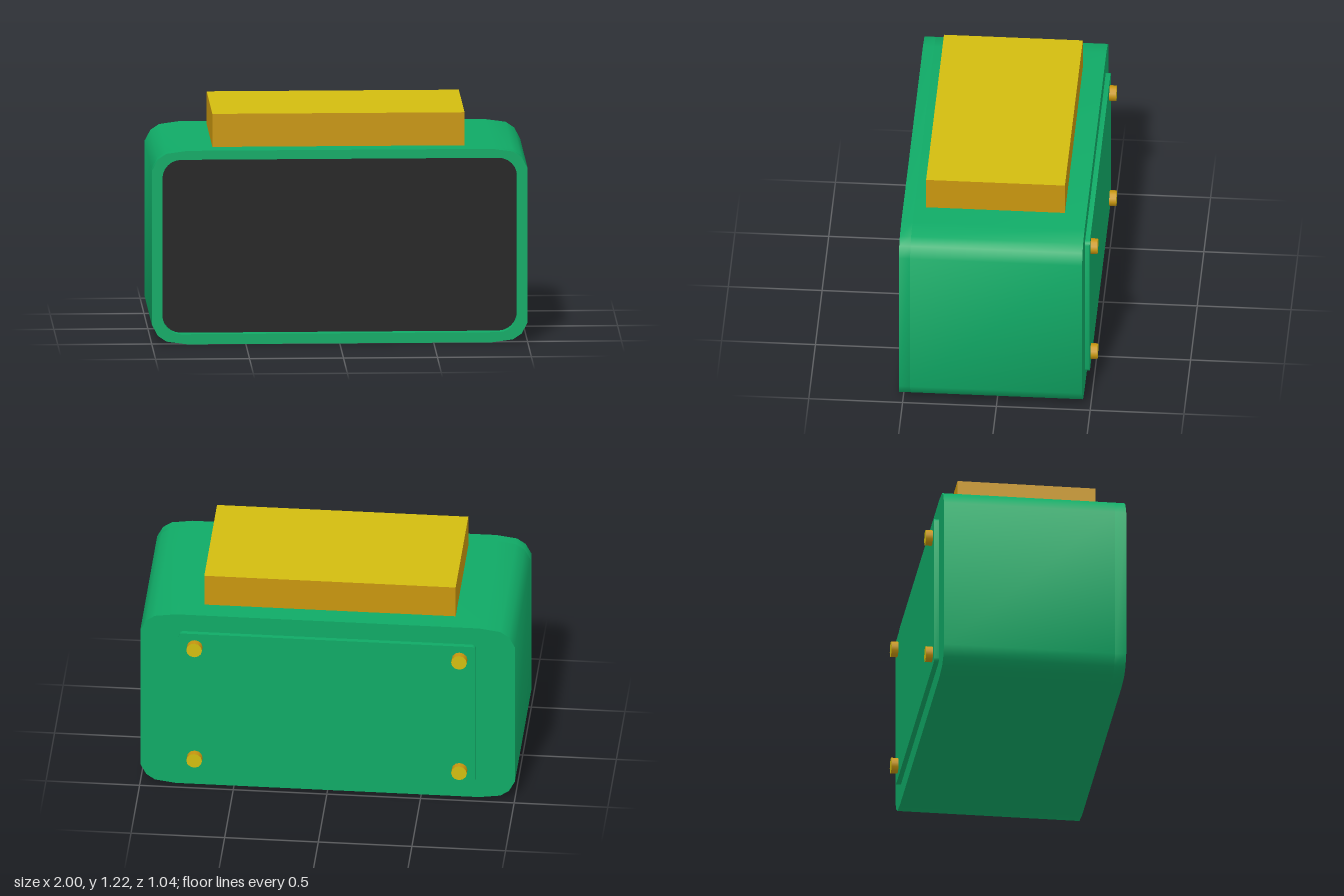
import * as THREE from 'three';
import { toCreasedNormals } from 'three/addons/utils/BufferGeometryUtils.js';

const mat = (name, color) => {
  const m = new THREE.MeshStandardMaterial({ color });
  m.name = name;
  return m;
};

// Mirrors one corner (listed from the side towards the top) around a centre height
function mirroredOutline(corner, cy) {
  const back = [...corner].reverse();
  return [
    ...corner.map(([x, y]) => new THREE.Vector2(x, cy + y)),
    ...back.map(([x, y]) => new THREE.Vector2(-x, cy + y)),
    ...corner.map(([x, y]) => new THREE.Vector2(-x, cy - y)),
    ...back.map(([x, y]) => new THREE.Vector2(x, cy - y)),
  ];
}

function roundCorner(hw, hh, r, steps) {
  const pts = [];
  for (let i = 0; i <= steps; i++) {
    const a = (i / steps) * Math.PI / 2;
    pts.push([hw - r + r * Math.cos(a), hh - r + r * Math.sin(a)]);
  }
  return pts;
}

// Extrudes an outline between two depths, smooth round the corners
function slab(outline, z0, z1, hole) {
  const shape = new THREE.Shape(outline);
  if (hole) shape.holes.push(new THREE.Path(hole));
  const geo = new THREE.ExtrudeGeometry(shape, { depth: z1 - z0, bevelEnabled: false });
  geo.translate(0, 0, z0);
  return toCreasedNormals(geo, 0.8);
}

export function createModel() {
  const green = mat('green casing', 0x10aa66);
  const black = mat('black screen', 0x242424);
  const yellow = mat('yellow face', 0xd2bc10);
  const orange = mat('amber side', 0xc8960f);

  const group = new THREE.Group();
  const add = (name, geo, material, x = 0, y = 0, z = 0) => {
    const mesh = new THREE.Mesh(geo, material);
    mesh.name = name;
    mesh.position.set(x, y, z);
    group.add(mesh);
    return mesh;
  };

  const cy = 0.5215;
  const outer = mirroredOutline([[1, 0.415], [0.968, 0.475], [0.922, 0.506], [0.81, 0.5215]], cy);
  const opening = mirroredOutline(roundCorner(0.944, 0.47, 0.1, 6), cy + 0.003);

  // Casing with a raised rim around the recessed screen
  add('casing', slab(outer, -0.457, 0.46), green);
  add('screenRim', slab(outer, 0.46, 0.52, opening), green);
  add('screen', slab(opening, 0.46, 0.466), black);

  // Large button on top: amber sides, yellow top
  add('topButton', new THREE.BoxGeometry(1.342, 0.2, 0.74),
    [orange, orange, yellow, orange, orange, orange], -0.002, 1.121, 0.028);

  // Back cover
  add('backCover', slab(mirroredOutline(roundCorner(0.793, 0.42, 0.02, 2), cy), -0.483, -0.45), green);

  // Four screws, with yellow heads facing backwards
  for (const x of [-0.707, 0.707]) {
    for (const y of [0.179, 0.862]) {
      const screw = add('screw', new THREE.CylinderGeometry(0.042, 0.042, 0.045, 12),
        [orange, yellow, yellow], x, y, -0.4975);
      screw.rotation.x = -Math.PI / 2;
    }
  }
  return group;
}
